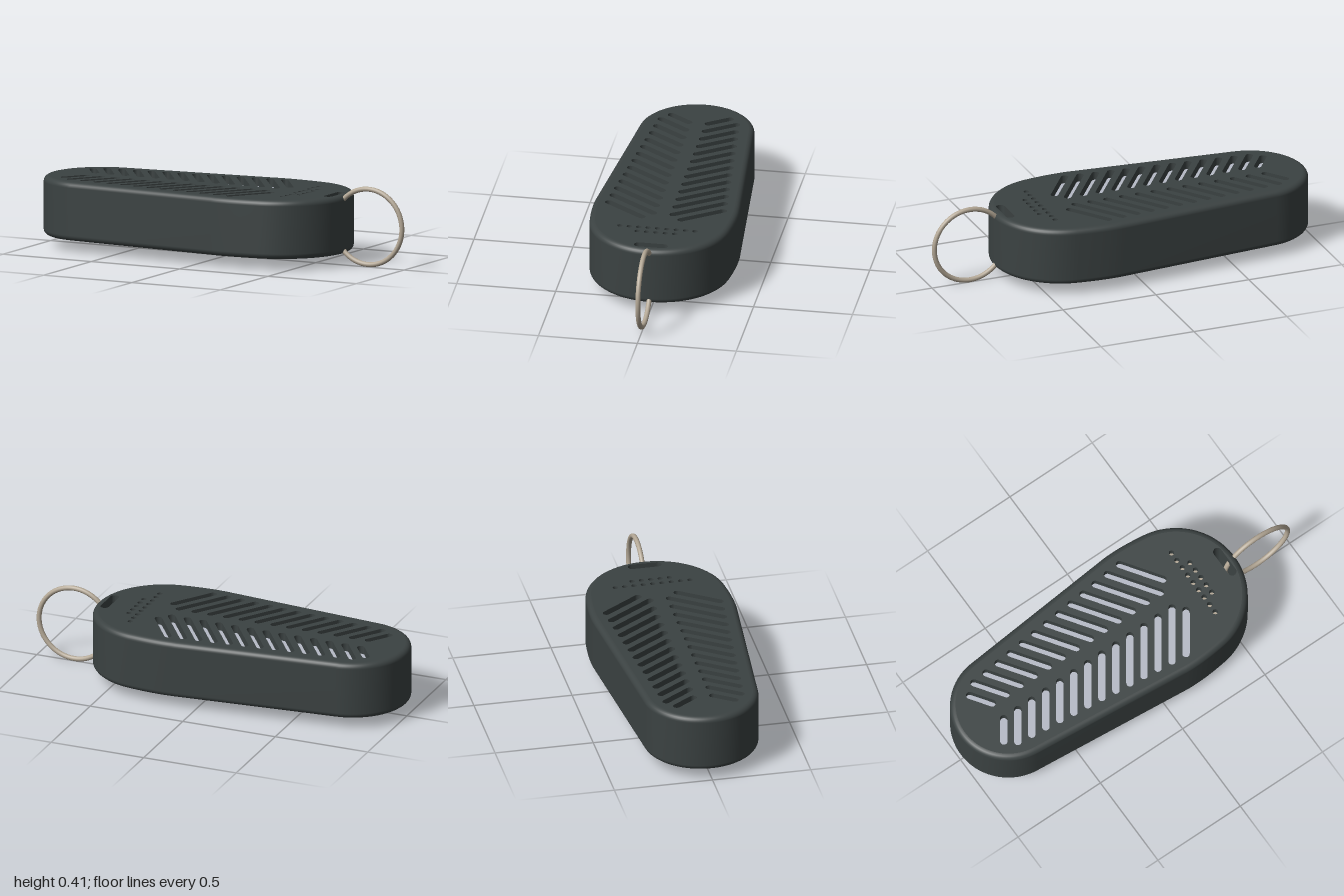
import * as THREE from 'three';

const Y0 = 0.056, Y1 = 0.352;      // underside and top of the case
const EDGE = 0.028, DEPTH = 0.045; // rounded edge radius, recess depth

// Tapered outline, counter-clockwise, symmetric about the long axis
function outlinePoints() {
  const half = [];
  const arc = (cx, r, from, to, n) => {
    for (let i = 0; i <= n; i++) {
      const a = from + (to - from) * i / n;
      half.push(new THREE.Vector2(cx + r * Math.cos(a), r * Math.sin(a)));
    }
  };
  arc(0.31, 0.357, 0, 1.43, 24);
  const shoulder = new THREE.QuadraticBezierCurve(
    new THREE.Vector2(0.36, 0.3535), new THREE.Vector2(0.2, 0.3755), new THREE.Vector2(0.1, 0.364));
  half.push(...shoulder.getPoints(10).slice(1));
  arc(-0.71, 0.29, 1.66, Math.PI, 24);
  const mirrored = half.slice(1, -1).reverse().map(p => new THREE.Vector2(p.x, -p.y));
  return [...half, ...mirrored];
}

function inset(points, d) {
  const n = points.length;
  return points.map((p, i) => {
    const t = points[(i + 1) % n].clone().sub(points[(i + n - 1) % n]).normalize();
    return new THREE.Vector2(p.x - t.y * d, p.y + t.x * d);
  });
}

// Round-ended slot between two points
function capsule(ax, ay, bx, by, r) {
  const a = Math.atan2(by - ay, bx - ax), q = Math.PI / 2;
  const s = new THREE.Shape();
  s.absarc(bx, by, r, a - q, a + q, false);
  s.absarc(ax, ay, r, a + q, a + 3 * q, false);
  s.closePath();
  return s;
}

// Chevron rows of slots, lengthening towards the wide end
function makeSlots() {
  const slots = [];
  for (const side of [1, -1]) {
    for (let i = 0; i < 14; i++) {
      const base = -0.772 + 0.0852 * i;
      const inner = i === 13 ? 0.1 : 0.05;
      const outer = i === 0 ? 0.148 : 0.182 + 0.0082 * i;
      const x = s => base - 0.7 * (s - 0.05);
      slots.push(capsule(x(inner), side * inner, x(outer), side * outer, 0.0185));
    }
  }
  return slots;
}

// Two columns of small round holes
function makeDots() {
  const dots = [];
  for (const [x, count] of [[0.415, 9], [0.461, 5]]) {
    for (let i = 0; i < count; i++) {
      const s = new THREE.Shape();
      s.absarc(x, (i - (count - 1) / 2) * 0.0475, 0.0135, 0, Math.PI * 2, false);
      dots.push(s);
    }
  }
  return dots;
}

// Smooth outer wall with rounded top and bottom edges
function skinGeometry(points) {
  const profile = [];
  for (let k = 0; k <= 6; k++) {
    const a = Math.PI / 2 * k / 6;
    profile.push([EDGE * (1 - Math.sin(a)), Y0 + EDGE * (1 - Math.cos(a))]);
  }
  for (let k = 6; k >= 0; k--) profile.push([profile[k][0], Y0 + Y1 - profile[k][1]]);
  const pos = [], idx = [], n = points.length;
  profile.forEach(([d, h], j) => {
    for (const p of inset(points, d)) pos.push(p.x, p.y, h);
    if (j === 0) return;
    for (let i = 0; i < n; i++) {
      const a = (j - 1) * n + i, b = (j - 1) * n + (i + 1) % n;
      idx.push(a, b, b + n, a, b + n, a + n);
    }
  });
  const g = new THREE.BufferGeometry();
  g.setAttribute('position', new THREE.Float32BufferAttribute(pos, 3));
  g.setIndex(idx);
  g.computeVertexNormals();
  return g;
}

export function createModel() {
  const caseMat = new THREE.MeshStandardMaterial({ color: 0x3b4242 });
  caseMat.name = 'charcoal';
  const insertMat = new THREE.MeshStandardMaterial({ color: 0xb6bac6 });
  insertMat.name = 'pale grey';
  const ringMat = new THREE.MeshStandardMaterial({ color: 0xb3a795 });
  ringMat.name = 'warm metal';

  const model = new THREE.Group();
  model.name = 'keyFob';
  const body = new THREE.Group(); // drawn in plan, then laid flat
  body.name = 'case';
  body.rotation.x = -Math.PI / 2;
  model.add(body);
  const add = (name, geometry, material, parent = body) => {
    const m = new THREE.Mesh(geometry, material);
    m.name = name;
    parent.add(m);
    return m;
  };

  const points = outlinePoints();
  const slots = makeSlots(), dots = makeDots();
  const ringHole = capsule(0.606, -0.063, 0.606, 0.063, 0.022);

  add('outerWall', skinGeometry(points), caseMat);

  // Perforated top and bottom panels around a solid core
  const layer = (name, holes, from, to) => {
    const shape = new THREE.Shape(inset(points, EDGE));
    shape.holes.push(...holes);
    const g = new THREE.ExtrudeGeometry(shape, { depth: to - from, bevelEnabled: false, curveSegments: 10 });
    add(name, g.translate(0, 0, from), caseMat);
  };
  const perforations = [...slots, ...dots, ringHole];
  layer('topPanel', perforations, Y1 - DEPTH, Y1);
  layer('core', [ringHole], Y0 + DEPTH, Y1 - DEPTH);
  layer('bottomPanel', perforations, Y0, Y0 + DEPTH);

  // Coloured floors at the bottom of the top recesses
  const floorY = Y1 - DEPTH + 0.003;
  add('slotInserts', new THREE.ShapeGeometry(slots, 10), insertMat).position.z = floorY;
  add('dotInserts', new THREE.ShapeGeometry(dots, 10), ringMat).position.z = floorY;

  // Split ring through the end hole
  const ring = add('keyRing', new THREE.TorusGeometry(0.19, 0.0125, 16, 72), ringMat, model);
  ring.position.set(0.7975, 0.2025, 0);
  return model;
}
